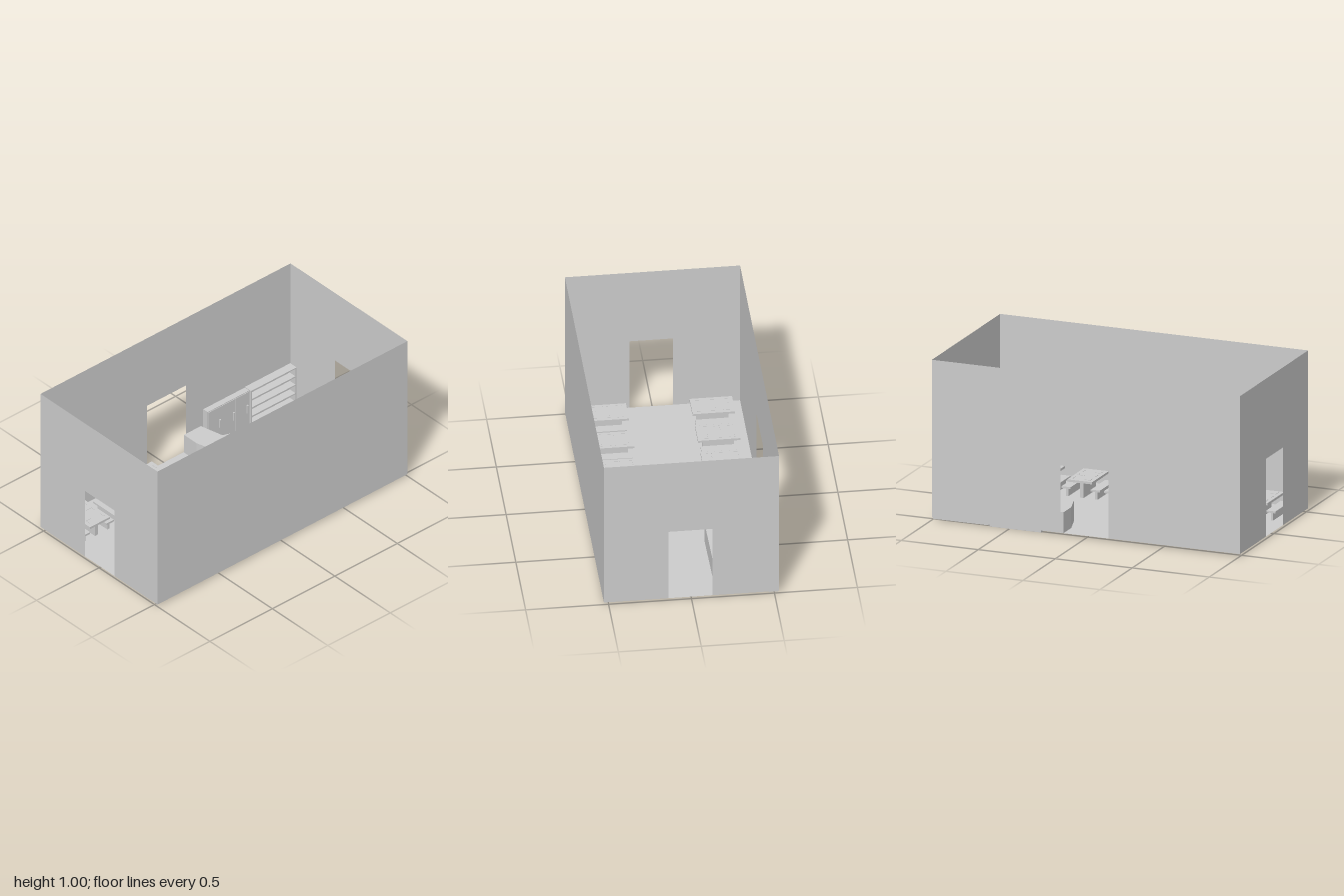
import * as THREE from 'three';

const FLOOR = 0.015, TOP = 1, HX = 1, HZ = 0.528;

export function createModel() {
  const room = new THREE.Group();
  room.name = 'diningRoom';
  const solid = new THREE.MeshStandardMaterial({ color: 0xcccccc });
  const sheet = new THREE.MeshStandardMaterial({ color: 0xcccccc, side: THREE.DoubleSide });

  // Box given by its min and max corners
  function box(parent, name, x0, x1, y0, y1, z0, z1) {
    const m = new THREE.Mesh(new THREE.BoxGeometry(x1 - x0, y1 - y0, z1 - z0), solid);
    m.position.set((x0 + x1) / 2, (y0 + y1) / 2, (z0 + z1) / 2);
    m.name = name;
    parent.add(m);
  }

  // Thin upright wall, with an optional doorway [left, right]
  function wall(name, half, door) {
    const s = new THREE.Shape();
    s.moveTo(-half, FLOOR);
    if (door) {
      s.lineTo(door[0], FLOOR);
      s.lineTo(door[0], 0.5);
      s.lineTo(door[1], 0.5);
      s.lineTo(door[1], FLOOR);
    }
    s.lineTo(half, FLOOR);
    s.lineTo(half, TOP);
    s.lineTo(-half, TOP);
    const m = new THREE.Mesh(new THREE.ShapeGeometry(s), sheet);
    m.name = name;
    room.add(m);
    return m;
  }

  // Shell: floor and four walls
  const floor = new THREE.Mesh(new THREE.PlaneGeometry(2 * HX, 2 * HZ).rotateX(-Math.PI / 2), sheet);
  floor.name = 'floor';
  floor.position.y = FLOOR;
  room.add(floor);
  wall('frontWall', HX).position.z = HZ;
  wall('backWall', HX, [-0.147, 0.165]).position.z = -HZ;
  for (const side of [-1, 1]) {
    const w = wall(side > 0 ? 'leftWall' : 'rightWall', HZ, [-0.14, 0.125]);
    w.rotation.y = Math.PI / 2;
    w.position.x = side * HX;
  }

  // Table with a bench on each side and place settings
  function diningSet(x, z, variant) {
    const g = new THREE.Group();
    g.name = 'diningSet';
    g.position.set(x, 0, z);
    box(g, 'tableTop', -0.081, 0.081, 0.116, 0.13, -0.128, 0.128);
    box(g, 'tablePedestal', -0.012, 0.012, FLOOR - 0.002, 0.116, -0.095, 0.095);
    for (const s of [-1, 1]) {
      const cx = s * 0.095;
      box(g, 'benchSeat', cx - 0.03, cx + 0.03, 0.066, 0.078, -0.112, 0.112);
      box(g, 'benchLeg', cx - 0.008, cx + 0.008, FLOOR - 0.002, 0.066, -0.095, 0.095);
      for (let i = 0; i < 3; i++) {
        const pz = (i - 1) * 0.08, px = s * 0.038;
        box(g, 'cutlery', px + s * 0.018, px + s * 0.022, 0.13, 0.132, pz - 0.018, pz + 0.018);
        if ((i + variant + (s > 0 ? 1 : 0)) % 2 === 0) {
          box(g, 'napkin', px - 0.02, px + 0.02, 0.13, 0.132, pz - 0.018, pz - 0.014);
        }
      }
    }
    room.add(g);
  }
  [-0.805, -0.525, -0.245].forEach((x, i) => diningSet(x, -0.338, i));
  [-0.805, -0.515, -0.23, 0.06, 0.335, 0.62].forEach((x, i) => diningSet(x, 0.302, i));

  // Angled service counter: plan outline pulled upward
  const plan = [[0.145, -0.525], [0.145, -0.41], [0.19, -0.255], [0.44, -0.145], [0.89, -0.15],
    [0.89, -0.315], [0.43, -0.325], [0.315, -0.37], [0.28, -0.525]];
  const counterShape = new THREE.Shape(plan.map(([x, z]) => new THREE.Vector2(x, -z)));
  const counter = new THREE.Mesh(
    new THREE.ExtrudeGeometry(counterShape, { depth: 0.13, bevelEnabled: false }).rotateX(-Math.PI / 2), solid);
  counter.name = 'counter';
  counter.position.y = FLOOR;
  room.add(counter);

  // Open shelving on the back wall
  const shelves = new THREE.Group();
  shelves.name = 'shelving';
  const SX0 = 0.632, SX1 = 0.995, SZ0 = -0.525, SZ1 = -0.468, SH = 0.265;
  box(shelves, 'shelfBack', SX0, SX1, 0.008, SH, SZ0, SZ0 + 0.005);
  for (const x of [SX0, SX1 - 0.008]) box(shelves, 'shelfSide', x, x + 0.008, 0.008, SH, SZ0, SZ1);
  for (let i = 0; i < 5; i++) {
    const y = 0.008 + i * (SH - 0.016) / 4;
    box(shelves, 'shelf', SX0, SX1, y, y + 0.008, SZ0, SZ1);
  }
  room.add(shelves);

  // Tall cabinet with doors and handles
  const cabinet = new THREE.Group();
  cabinet.name = 'cabinet';
  box(cabinet, 'cabinetBody', 0.295, 0.628, 0, 0.265, -0.52, -0.48);
  for (let i = 0; i < 3; i++) {
    const x = 0.298 + i * 0.11;
    box(cabinet, 'cabinetDoor', x, x + 0.106, 0.02, 0.26, -0.481, -0.476);
    box(cabinet, 'doorHandle', x + 0.085, x + 0.095, 0.11, 0.17, -0.477, -0.466);
  }
  room.add(cabinet);

  return room;
}
